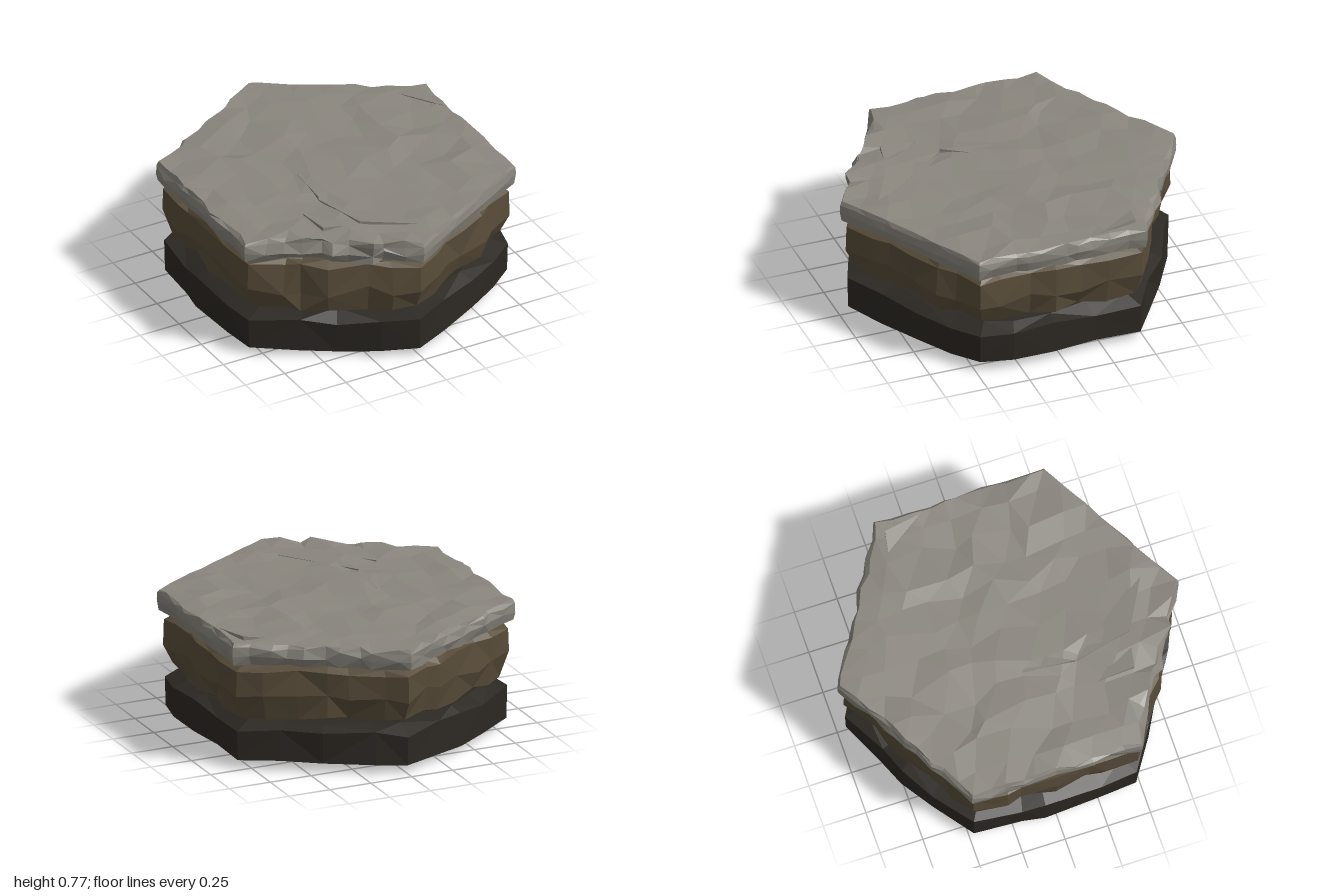
import * as THREE from 'three';
import { ConvexGeometry } from 'three/addons/geometries/ConvexGeometry.js';

// Small seeded generator, -1..1
function seeded(seed) {
  let s = seed;
  return () => {
    s = (s * 16807) % 2147483647;
    return (s / 2147483647) * 2 - 1;
  };
}

function stone(name, geometry, color) {
  const mesh = new THREE.Mesh(geometry, new THREE.MeshStandardMaterial({ color, flatShading: true, roughness: 1 }));
  mesh.name = name;
  return mesh;
}

// Point on a unit hexagon with corners on +z and -z, counterclockwise from above
function hexPoint(edge, t) {
  const a = (edge * Math.PI) / 3, b = ((edge + 1) * Math.PI) / 3;
  return [
    THREE.MathUtils.lerp(Math.sin(a), Math.sin(b), t),
    THREE.MathUtils.lerp(Math.cos(a), Math.cos(b), t),
  ];
}

// Rough hexagonal slab. Rings are [y, edge scale, corner scale, radial jitter, height jitter],
// bottom to top; the top face is a triangle lattice with half the rim's divisions.
// The two lowest rings follow the floor height.
function slab({ seed, perEdge, rings, bottom, rough, cap, floor = () => 0 }) {
  const rnd = seeded(seed), n = perEdge * 6;
  const pos = [0, bottom, 0], index = [];
  // Wear shared by all rings, so chips run down the side
  const wear = Array.from({ length: n }, () => rnd());
  const slide = Array.from({ length: n }, () => rnd() * 0.28);
  rings.forEach(([y, scale, corner, jr, jy], i) => {
    for (let j = 0; j < n; j++) {
      const edge = Math.floor(j / perEdge), k = j % perEdge;
      const t = k === 0 ? 0 : (k + slide[j]) / perEdge;
      const [x, z] = hexPoint(edge, t);
      const r = k === 0 ? corner
        : THREE.MathUtils.lerp(corner, scale, Math.sqrt(4 * t * (1 - t))) + jr * rough[edge] * (wear[j] + rnd() * 0.7 - 0.6);
      const lift = i < 2 ? floor(x * r, z * r) : 0;
      pos.push(x * r, y + lift + jy * rough[edge] * rnd(), z * r);
    }
  });
  const id = (i, j) => 1 + i * n + (j % n);
  for (let j = 0; j < n; j++) {
    index.push(0, id(0, j + 1), id(0, j));
    for (let i = 0; i < rings.length - 1; i++) {
      const a = id(i, j), b = id(i, j + 1), c = id(i + 1, j + 1), d = id(i + 1, j);
      if ((i + j) % 2) index.push(a, b, c, a, c, d);
      else index.push(a, b, d, b, c, d);
    }
  }

  // Top lattice, from its outer ring to the centre
  const M = perEdge / 2, starts = [];
  for (let m = M; m >= 0; m--) {
    starts[m] = pos.length / 3;
    for (let j = 0; j < Math.max(1, 6 * m); j++) {
      const [x, z] = m ? hexPoint(Math.floor(j / m), (j % m) / m) : [0, 0];
      const r = (cap.scale * m) / M, loose = m === M ? 0.012 : 0.055;
      pos.push(x * r + rnd() * loose, cap.y + rnd() * cap.jitter, z * r + rnd() * loose);
    }
  }
  const at = (m, j) => starts[m] + (m ? j % (6 * m) : 0);
  for (let k = 0; k < 6 * M; k++) {
    const f = [0, 1, 2].map((s) => id(rings.length - 1, 2 * k + s));
    const c = at(M, k), d = at(M, k + 1);
    index.push(f[0], f[1], c, f[1], d, c, f[1], f[2], d);
  }
  for (let m = M; m > 0; m--) {
    for (let j = 0; j < 6 * m; j++) {
      const inner = Math.floor(j / m) * (m - 1) + (j % m);
      index.push(at(m, j), at(m, j + 1), at(m - 1, inner));
      if (j % m < m - 1) index.push(at(m, j + 1), at(m - 1, inner + 1), at(m - 1, inner));
    }
  }

  const g = new THREE.BufferGeometry();
  g.setAttribute('position', new THREE.Float32BufferAttribute(pos, 3));
  g.setIndex(index);
  const flat = g.toNonIndexed();
  flat.computeVertexNormals();
  return flat;
}

export function createModel() {
  const model = new THREE.Group();
  model.name = 'hexagonalStoneTile';

  // Dark foundation, slightly rounded in plan, lowest near its front left
  model.add(stone('baseLayer', slab({
    seed: 411, perEdge: 4, bottom: 0.034,
    rough: [0.7, 0.9, 1, 0.8, 0.9, 1],
    floor: (x, z) => 0.008 * x - 0.022 * Math.exp(-8 * ((x + 0.3) ** 2 + (z - 0.72) ** 2)),
    rings: [
      [0.034, 0.93, 0.87, 0.03, 0.006],
      [0.056, 0.99, 0.95, 0.02, 0.01],
      [0.235, 1.0, 0.955, 0.025, 0.02],
      [0.265, 0.91, 0.84, 0.04, 0.01],
    ],
    cap: { y: 0.278, scale: 0.72, jitter: 0.005 },
  }), 0x2c2823));

  // Brown bulging middle
  model.add(stone('middleLayer', slab({
    seed: 1873, perEdge: 6, bottom: 0.262,
    rough: [0.8, 0.9, 0.8, 0.9, 0.8, 1.1],
    rings: [
      [0.264, 0.84, 0.79, 0.05, 0.008],
      [0.304, 0.95, 0.91, 0.04, 0.016],
      [0.43, 0.98, 0.965, 0.03, 0.035],
      [0.582, 0.975, 0.96, 0.03, 0.014],
      [0.607, 0.93, 0.9, 0.03, 0.006],
    ],
    cap: { y: 0.63, scale: 0.82, jitter: 0.005 },
  }), 0x584c39));

  // Grey cap with its most broken edge at the front left
  model.add(stone('topLayer', slab({
    seed: 9127, perEdge: 10, bottom: 0.612,
    rough: [0.2, 0.5, 0.6, 0.5, 0.6, 1.1],
    rings: [
      [0.61, 0.9, 0.89, 0.03, 0.006],
      [0.63, 0.985, 0.99, 0.025, 0.012],
      [0.685, 1.005, 1.0, 0.022, 0.02],
      [0.73, 1.0, 0.997, 0.025, 0.014],
      [0.754, 0.988, 0.985, 0.03, 0.014],
    ],
    cap: { y: 0.757, scale: 0.85, jitter: 0.013 },
  }), 0x8a867e));

  // Split flakes on the upper face: triangle corners [x, z], the last one lifted
  const flakes = [
    [[-0.25, 0], [-0.15, 0.05], [-0.28, 0.3]],
    [[-0.43, 0.39], [-0.21, 0.64], [-0.42, 0.6]],
    [[-0.28, 0.3], [0.13, 0.83], [-0.21, 0.64]],
    [[0.66, -0.48], [0.82, -0.24], [0.78, -0.46]],
  ];
  flakes.forEach((tri, i) => {
    const pts = tri.flatMap(([x, z], k) => [
      new THREE.Vector3(x, 0.735, z),
      new THREE.Vector3(x, k === 2 ? 0.776 : 0.758, z),
    ]);
    model.add(stone(`surfaceFlake${i + 1}`, new ConvexGeometry(pts), 0x8a867e));
  });
  return model;
}
